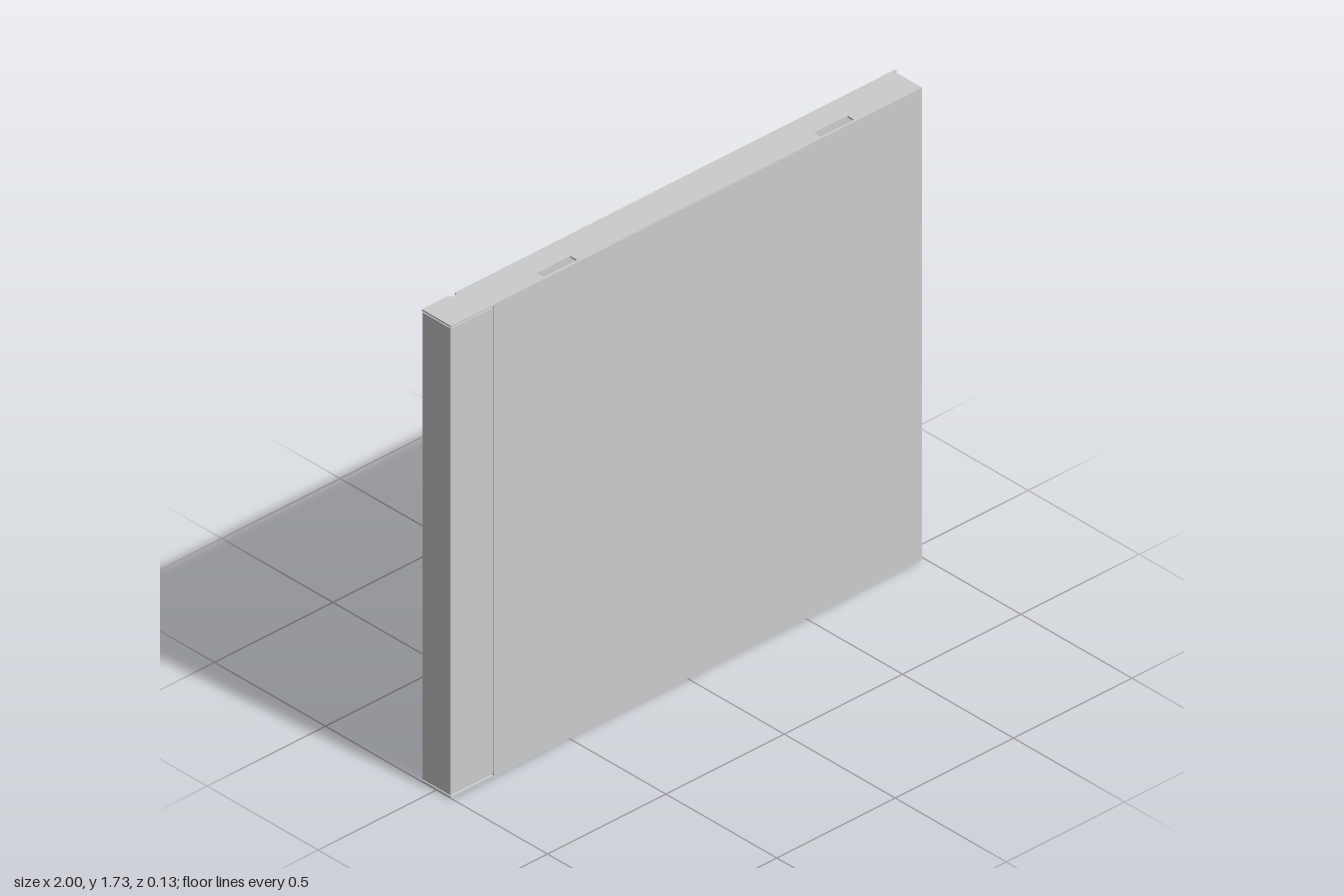
import * as THREE from 'three';

const material = new THREE.MeshStandardMaterial({ color: 0xcccccc, flatShading: true });
const H = 1.73;   // height
const D = 0.066;  // half depth
const T = 0.006;  // sheet thickness

export function createModel() {
  const group = new THREE.Group();
  group.name = 'hollowPanel';

  const add = (name, geometry) => {
    const mesh = new THREE.Mesh(geometry, material);
    mesh.name = name;
    group.add(mesh);
    return mesh;
  };
  // Box given by its limits on each axis
  const sheet = (name, x0, x1, y0, y1, z0, z1) =>
    add(name, new THREE.BoxGeometry(x1 - x0, y1 - y0, z1 - z0))
      .position.set((x0 + x1) / 2, (y0 + y1) / 2, (z0 + z1) / 2);

  // Front skin and the return strip folded round from the left-hand edge
  sheet('frontSkin', -0.82, 0.99, 0, H, D - T, D);
  sheet('frontReturnStrip', -0.998, -0.82, 0.012, H - 0.012, D - T - 0.002, D - 0.002);

  // Back skin, a little shorter than the lips around it
  sheet('backSkin', -0.998, 0.99, 0.01, H - 0.01, -D + 0.002, -D + 0.002 + T);

  // End walls; the one at +x sits slightly inside the edges
  sheet('closedEndWall', -1, -1 + T, 0.01, H - 0.01, -D + 0.002, D - 0.002);
  sheet('recessedEndWall', 0.985 - T, 0.985, T, H - T, -D + 0.004, D - T);
  sheet('endLip', 0.985, 1, 0, H, -D, -D + T);

  // Top and bottom plates with two through slots and a notched rear edge
  const outline = new THREE.Shape([
    [-1, -D], [0.99, -D], [0.99, D - T], [-0.86, D - T], [-0.87, D - 0.011],
    [-0.885, D - 0.011], [-0.89, D], [-1, D],
  ].map(([x, y]) => new THREE.Vector2(x, y)));
  for (const x of [-0.6, 0.57]) {
    outline.holes.push(new THREE.Path([
      new THREE.Vector2(x, -0.056), new THREE.Vector2(x, -0.026),
      new THREE.Vector2(x + 0.142, -0.026), new THREE.Vector2(x + 0.142, -0.056),
    ]));
  }
  const plate = new THREE.ExtrudeGeometry(outline, { depth: T, bevelEnabled: false });
  plate.rotateX(-Math.PI / 2);
  for (const [name, y] of [['bottomPlate', 0], ['topPlate', H - T]]) {
    add(name, plate).position.y = y;
  }

  // Rear lips along the top and bottom, stopping short of the notch
  for (const [name, y] of [['bottomLip', 0], ['topLip', H - 0.012]]) {
    sheet(name, -0.86, 0.985, y, y + 0.012, -D, -D + T);
  }
  return group;
}
